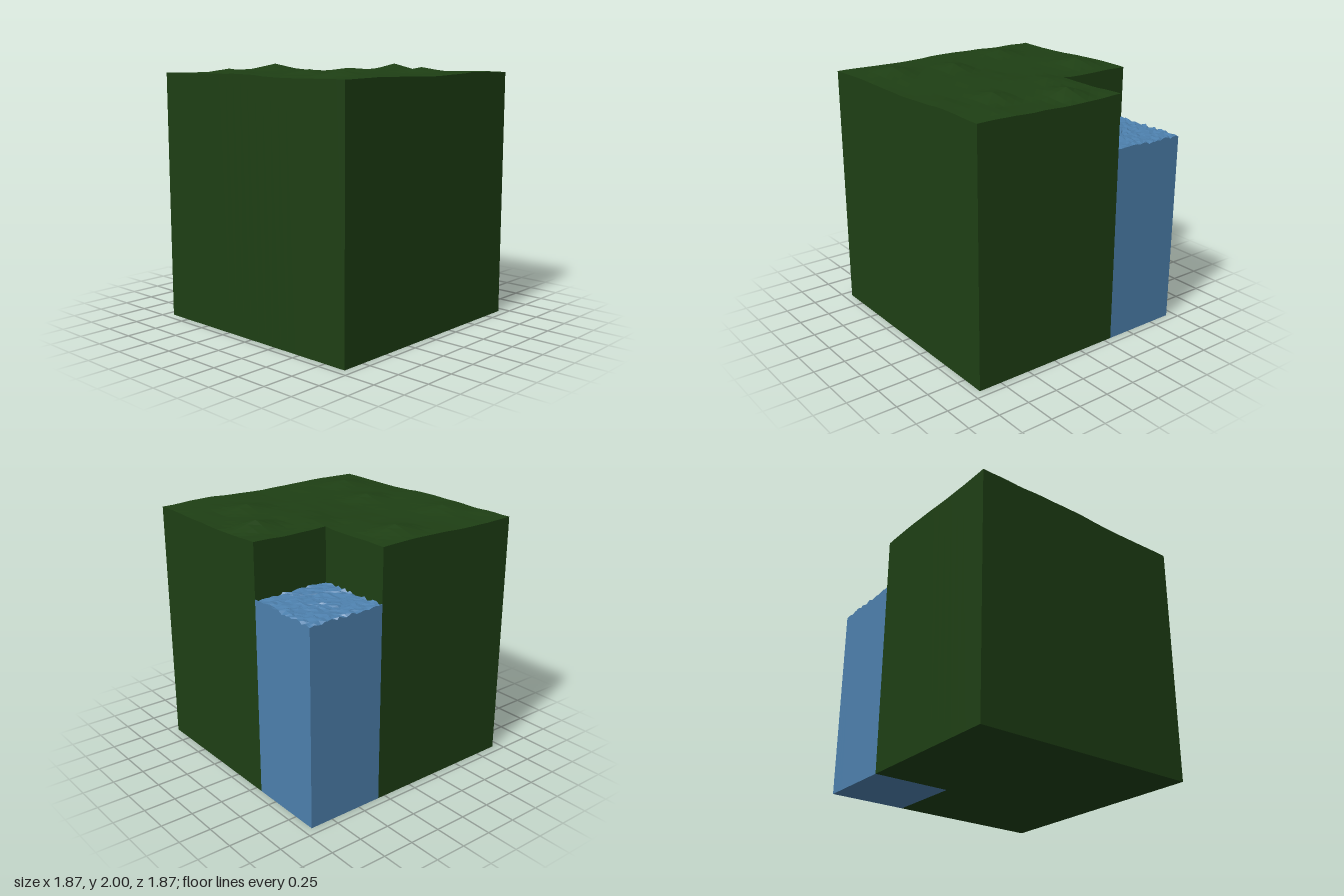
import * as THREE from 'three';

const HALF = 0.935, NOTCH = HALF / 3;

// repeatable pseudo-random value in 0..1 for a grid point
const hash = (i, j) => {
  const s = Math.sin(i * 127.1 + j * 311.7) * 43758.5453;
  return s - Math.floor(s);
};

// gentle ground: a rolling base with a few low mounds [x, z, top]
const mounds = [[0, -0.7, 2], [0.7, 0, 2], [-0.62, 0.62, 1.99], [0.47, 0.47, 1.985], [-0.47, 0.16, 1.985], [0.31, -0.16, 1.97], [-0.7, -0.47, 1.98]];
function groundHeight(x, z, i, j) {
  const base = 1.946 + 0.009 * Math.sin(5 * x + 2 * z) * Math.cos(4 * z - x) + 0.006 * (hash(i >> 1, j >> 1) - 0.5);
  return mounds.reduce((y, [mx, mz, top]) => {
    const d = Math.hypot(x - mx, (z - mz) * 1.2);
    return Math.max(y, base + (top - base) * Math.max(0, 1 - d / 0.22));
  }, base);
}

// solid column block over the grid cells kept by inside(), top points from point(i, j)
function block(name, n, inside, point, color) {
  const pos = [];
  const quad = (a, b, c, d) => [a, b, c, a, c, d].forEach((p) => pos.push(...p));
  const floor = ([x, , z]) => [x, 0, z];
  const has = (i, j) => i >= 0 && j >= 0 && i < n && j < n && inside(i, j);
  for (let i = 0; i < n; i++) for (let j = 0; j < n; j++) {
    if (!has(i, j)) continue;
    // corners counter-clockwise seen from above
    const c = [point(i, j), point(i, j + 1), point(i + 1, j + 1), point(i + 1, j)];
    quad(...c);
    quad(...c.map(floor).reverse());
    // a wall wherever the neighbouring cell is empty
    [[-1, 0], [0, 1], [1, 0], [0, -1]].forEach(([di, dj], k) => {
      if (has(i + di, j + dj)) return;
      const a = c[k], b = c[(k + 1) % 4];
      quad(a, floor(a), floor(b), b);
    });
  }
  const geo = new THREE.BufferGeometry();
  geo.setAttribute('position', new THREE.Float32BufferAttribute(pos, 3));
  geo.computeVertexNormals();
  const mesh = new THREE.Mesh(geo, new THREE.MeshStandardMaterial({ color, flatShading: true }));
  mesh.name = name;
  return mesh;
}

export function createModel() {
  const group = new THREE.Group();
  group.name = 'terrainBlock';

  // L-shaped land with the back left corner cut out
  const n = 24, step = (2 * HALF) / n;
  const land = block('land', n, (i, j) => !(i >= 16 && j < 8), (i, j) => {
    const x = -HALF + i * step, z = -HALF + j * step;
    return [x, groundHeight(x, z, i, j), z];
  }, 0x1e3f14);

  // water column with a choppy surface, filling the cut-out
  const m = 20, w = (HALF - NOTCH) / m;
  const water = block('water', m, () => true, (i, j) => {
    const jitter = (k, s) => (k > 0 && k < m ? (hash(i + s, j - s) - 0.5) * w * 0.7 : 0);
    const edge = i === 0 || j === 0 || i === m || j === m;
    const chop = (hash(i + 3, j + 8) - 0.5) * (edge ? 0.028 : 0.014);
    return [NOTCH + i * w + jitter(i, 31), 1.532 + chop, -HALF + j * w + jitter(j, 57)];
  }, 0x4d80ad);

  group.add(land, water);
  return group;
}
